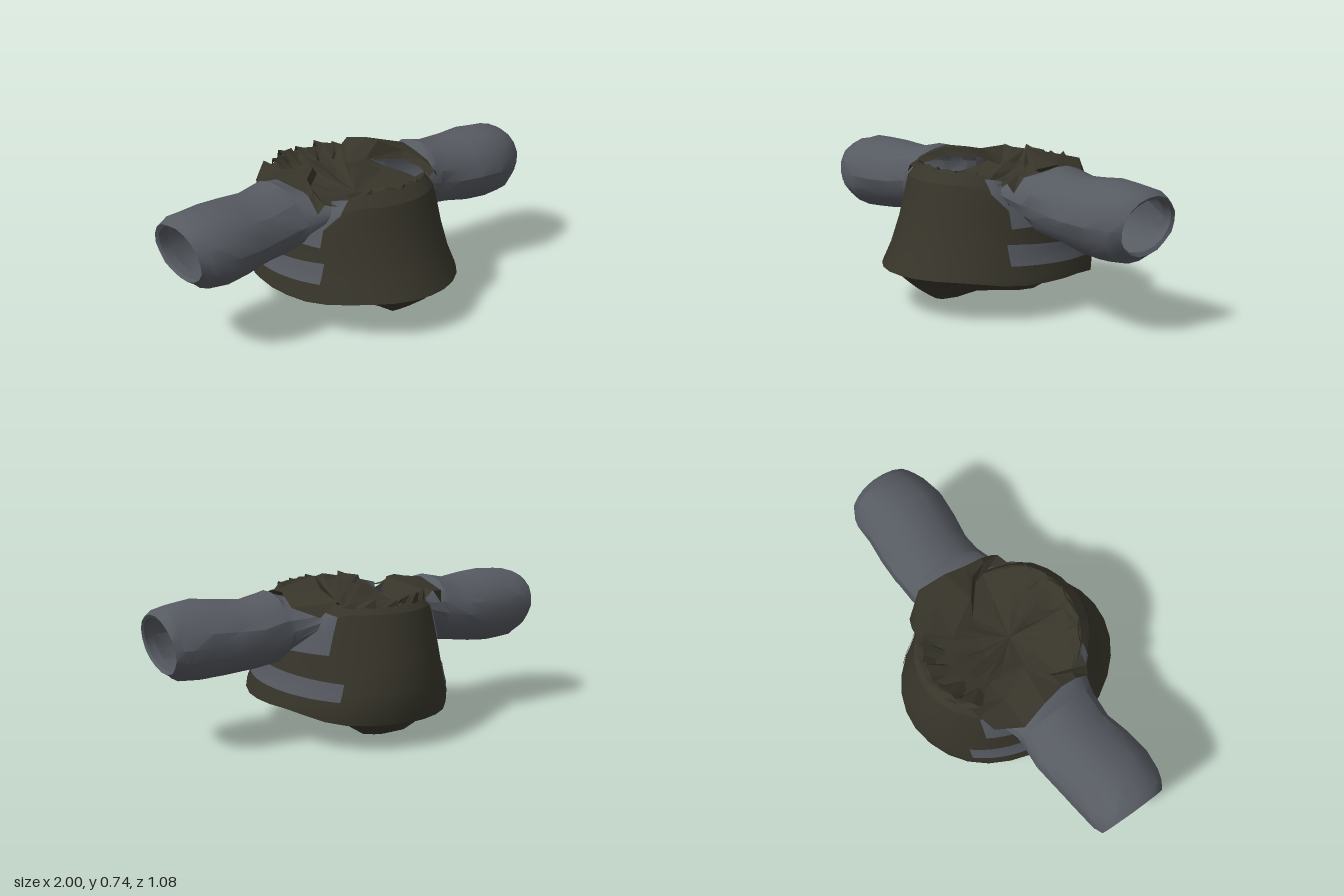
import * as THREE from 'three';
import { toCreasedNormals } from 'three/addons/utils/BufferGeometryUtils.js';

const V = (x, y, z) => new THREE.Vector3(x, y, z);
const { lerp, clamp, smoothstep } = THREE.MathUtils;
const N = 30;

// Garment levels from hem to neckline: half width, front z, back z, then y at front, side and back
const LEVELS = [
  [0.45, 0.54, 0.525, 0.20, 0.17, 0.125],
  [0.445, 0.53, 0.54, 0.22, 0.20, 0.20],
  [0.415, 0.49, 0.54, 0.30, 0.29, 0.27],
  [0.395, 0.44, 0.515, 0.42, 0.40, 0.40],
  [0.382, 0.405, 0.475, 0.54, 0.47, 0.53],
  [0.37, 0.385, 0.45, 0.61, 0.52, 0.61],
  [0.345, 0.335, 0.42, 0.66, 0.555, 0.64],
];

// Height of a level, rising from its side value to its front or back value; c is 1 front, -1 back
const levelY = ([, , , yf, ys, yb], c) =>
  lerp(ys, c > 0 ? yf : yb, smoothstep(Math.abs(c), 0.3, 0.85));

const levelRing = (L) => Array.from({ length: N }, (_, j) => {
  const a = j / N * Math.PI * 2, c = Math.cos(a);
  return V(L[0] * Math.sin(a), levelY(L, c), c * (c > 0 ? L[1] : L[2]));
});

// Distance of the garment side from the centre plane at a height and depth
function bodyX(y, z) {
  const at = LEVELS.map(L => {
    const c = clamp(z / (z > 0 ? L[1] : L[2]), -1, 1);
    return [levelY(L, c), L[0] * Math.sqrt(1 - c * c)];
  });
  return piecewise(at, y);
}

function piecewise(pts, x) {
  let i = 0;
  while (i < pts.length - 2 && pts[i + 1][0] < x) i++;
  const a = pts[i], b = pts[i + 1];
  return lerp(a[1], b[1], clamp((x - a[0]) / (b[0] - a[0]), 0, 1));
}

// Height of the underside ridge along z
const KEEL = [[-0.5, 0.09], [-0.3, 0.015], [-0.22, 0], [0.13, 0.065], [0.2, 0.07],
  [0.3, 0.035], [0.4, 0.1], [0.54, 0.2]];

// Surface through rows of points; closed rows wrap round
function loft(rows, closed, crease) {
  const n = rows[0].length, pos = [], idx = [];
  rows.forEach(r => r.forEach(p => pos.push(p.x, p.y, p.z)));
  const m = closed ? n : n - 1;
  for (let i = 0; i < rows.length - 1; i++) {
    for (let j = 0; j < m; j++) {
      const k = (j + 1) % n, a = i * n + j, b = i * n + k, c = a + n, d = b + n;
      idx.push(a, b, d, a, d, c);
    }
  }
  const g = new THREE.BufferGeometry();
  g.setAttribute('position', new THREE.Float32BufferAttribute(pos, 3));
  g.setIndex(idx);
  if (crease) return toCreasedNormals(g, crease);
  const flat = g.toNonIndexed();
  flat.computeVertexNormals();
  return flat;
}

export function createModel() {
  const group = new THREE.Group();
  const olive = new THREE.MeshStandardMaterial({ color: 0x37352a, side: THREE.DoubleSide });
  olive.name = 'olive cloth';
  const grey = new THREE.MeshStandardMaterial({ color: 0x565a61, side: THREE.DoubleSide });
  grey.name = 'grey cloth';
  let seed = 7;
  const rnd = () => (seed = (seed * 16807) % 2147483647) / 2147483647 - 0.5;
  const add = (name, geo, mat) => {
    const m = new THREE.Mesh(geo, mat);
    m.name = name;
    group.add(m);
  };

  // Garment body
  const rings = LEVELS.map(levelRing);
  add('body', loft(rings, true, 0.4), olive);

  // Underside drawn in to a low ridge
  const under = [[0, 1, 0.92], [0.14, 0.96, 0.92], [0.55, 0.28, 0.96], [1, 0, 1]].map(([sx, t, sz]) =>
    rings[0].map(p => V(p.x * sx, lerp(p.y, piecewise(KEEL, p.z * sz), t), p.z * sz)));
  add('underside', loft(under, true), olive);

  // Crumpled top with broad pleats, sagging along the line between the armholes
  const rim = rings[rings.length - 1];
  const pleat = rim.map(() => rnd() * 0.04);
  const top = [1, 0.95, 0.84, 0.62, 0.34, 0].map((r, i) => rim.map((p, j) => {
    if (i === 0) return p.clone();
    const c = Math.abs(p.z) / 0.42;
    const lift = i === 1 ? 0.01 + rnd() * 0.04 : pleat[j] + rnd() * 0.015;
    const s = r + (i < 5 ? rnd() * 0.03 : 0);
    const y = 0.55 + (p.y - 0.55) * r ** 1.5 + (i < 5 ? lift * Math.min(1, c) : 0);
    return V(p.x * s, y, lerp(0.02, p.z, s));
  }));
  add('crumpledTop', loft(top, true), olive);

  // Pointed creases round the front and back of the neckline
  for (const a of [-0.6, -0.35, -0.1, 0.2, 0.5, 2.45, 2.7, 3.0, 3.4, 3.7]) {
    const at = (t, s, y) => V(0.35 * s * Math.sin(t), y, Math.cos(t) * s * (Math.cos(t) > 0 ? 0.335 : 0.42));
    const h = 0.672 + rnd() * 0.03;
    add('necklineFold', loft([
      [at(a - 0.17, 1.01, 0.625), at(a, 1.01, 0.64), at(a + 0.17, 1.01, 0.625)],
      [at(a - 0.14, 0.97, h - 0.02), at(a + 0.05, 0.95, h - 0.012), at(a + 0.16, 0.99, h)],
      [at(a - 0.1, 0.78, 0.60), at(a + 0.02, 0.7, 0.61), at(a + 0.15, 0.8, 0.62)],
    ], false), olive);
  }

  for (const s of [1, -1]) {
    const side = s > 0 ? 'left' : 'right';
    const drop = s > 0 ? 0 : 0.04;

    // Shoulder flap folded over the armhole
    const flap = [
      [[0.37, 0.585, 0.19], [0.365, 0.65, 0.12], [0.365, 0.675, 0.04], [0.385, 0.685, -0.07], [0.41, 0.635, -0.2], [0.33, 0.6, -0.31]],
      [[0.34, 0.625, 0.2], [0.335, 0.66, 0.12], [0.3, 0.69, 0.03], [0.2, 0.74 - drop, -0.05], [0.26, 0.705 - drop, -0.2], [0.26, 0.67, -0.34]],
      [[0.28, 0.61, 0.22], [0.31, 0.63, 0.13], [0.28, 0.65, 0.03], [0.15, 0.65, -0.08], [0.14, 0.6, -0.2], [0.17, 0.6, -0.34]],
    ].map(r => r.map(([x, y, z]) => V(x * s, y, z)));
    add(side + 'ShoulderFlap', loft(flap, false), olive);

    // Thin panels lying on the side of the garment
    const panel = (name, z0, z1, lo0, hi0, lo1, hi1) => add(side + name, loft(
      [0, 0.25, 0.5, 0.75, 1].map(v => Array.from({ length: 17 }, (_, j) => {
        const u = j / 16, z = lerp(z0, z1, u);
        const y = lerp(lerp(lo0, lo1, u), lerp(hi0, hi1, u), v);
        return V(s * (bodyX(y, z) + 0.007), y, z);
      })), false, 0.5), grey);
    panel('SideStripe', 0.22, -0.41, 0.26, 0.355, 0.23, 0.31);
    panel('ArmholePanel', 0.19, -0.2, 0.42, 0.525, 0.43, 0.525);
    panel('ShoulderPatchFront', 0.25, 0.19, 0.575, 0.64, 0.5, 0.63);
    panel('ShoulderPatchBack', -0.2, -0.335, 0.43, 0.62, 0.43, 0.6);

    // Sleeve: x, bottom, top, back z, front z; the last rows turn the cuff inward
    const sleeve = [
      [0.36, 0.48, 0.655, -0.28, 0.21],
      [0.405, 0.40, 0.672, -0.235, 0.18],
      [0.44, 0.365, 0.69, -0.235, 0.165],
      [0.56, 0.352, 0.66, -0.24, 0.165],
      [0.68, 0.335, 0.672, -0.235, 0.185],
      [0.8, 0.325, 0.682, -0.222, 0.2],
      [0.9, 0.332, 0.675, -0.215, 0.185],
      [0.94, 0.345, 0.662, -0.205, 0.165],
      [0.975, 0.37, 0.635, -0.19, 0.145],
      [0.965, 0.385, 0.622, -0.175, 0.14],
      [0.92, 0.38, 0.628, -0.178, 0.15],
    ].map(([x, y0, y1, z0, z1], i) => Array.from({ length: 18 }, (_, j) => {
      const a = j / 18 * Math.PI * 2, sn = Math.sin(a);
      const k = 1 + rnd() * (i > 8 ? 0.02 : 0.05);
      const y = (y0 + y1) / 2 + sn * k * (y1 - y0) / 2;
      const z = (z0 + z1) / 2 + Math.cos(a) * k * (z1 - z0) / 2;
      const slant = i > 6 ? 0.025 * sn : 0;
      return V(s * (i ? x + slant : bodyX(y, z) + 0.005), y, z);
    }));
    add(side + 'Sleeve', loft(sleeve, true, 0.5), grey);
  }
  return group;
}
